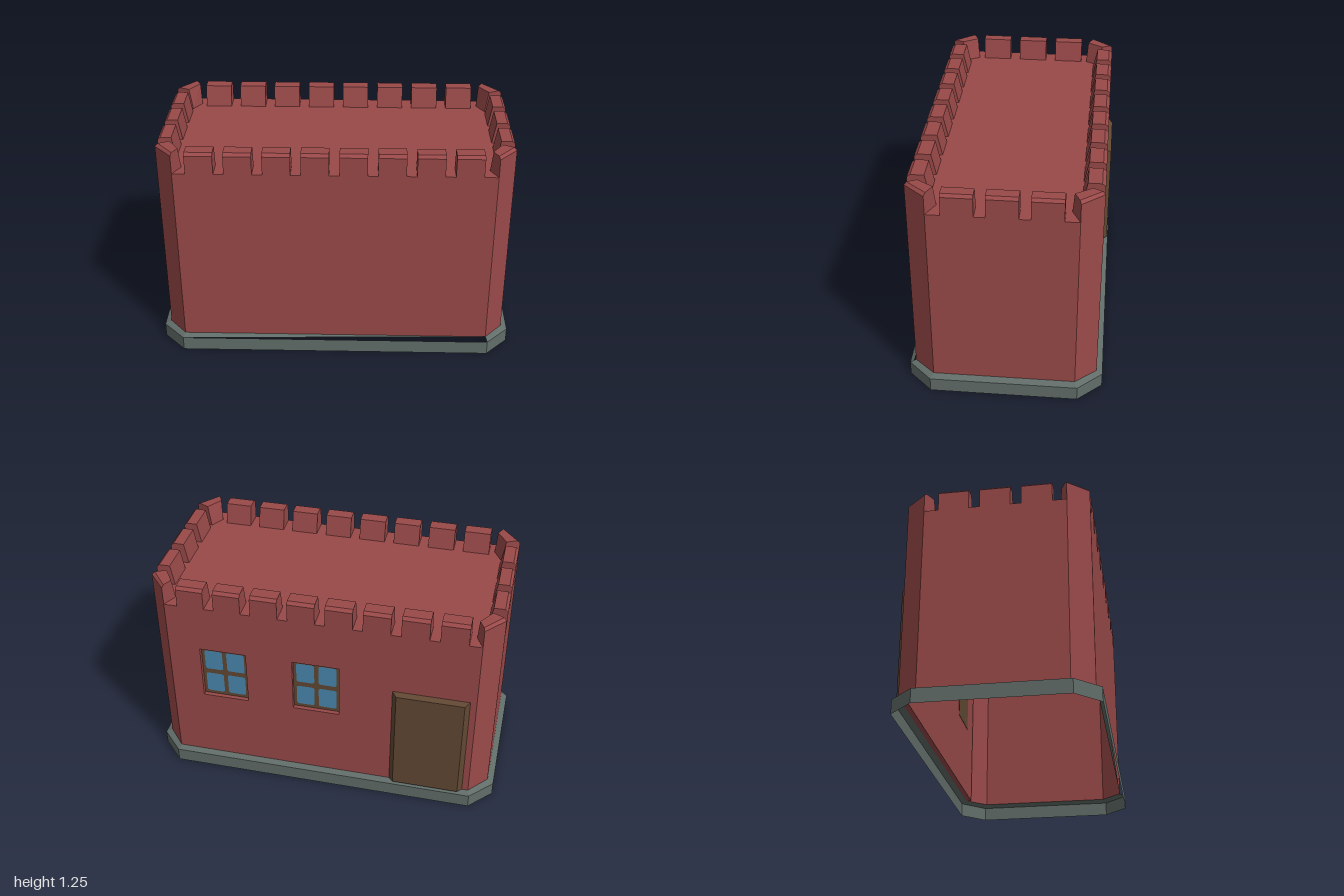
import * as THREE from 'three';

const mat = (name, color) => {
  const m = new THREE.MeshStandardMaterial({ color, side: THREE.DoubleSide, flatShading: true });
  m.name = name;
  return m;
};

// Flat-shaded geometry from quads or triangles given as corner lists
function facesGeometry(faces) {
  const pos = [];
  for (const f of faces)
    for (let i = 1; i < f.length - 1; i++) pos.push(...f[0], ...f[i], ...f[i + 1]);
  const g = new THREE.BufferGeometry();
  g.setAttribute('position', new THREE.Float32BufferAttribute(pos, 3));
  g.computeVertexNormals();
  return g;
}

// Chamfered rectangle seen from above; edge 0 is the front, edge 4 the back
const octagon = (x, z, cx, cz) => [
  [-cx, z], [cx, z], [x, cz], [x, -cz], [cx, -z], [-cx, -z], [-x, -cz], [-x, cz],
];
const at = ([x, z], y) => [x, y, z];
const mix = (p, q, t) => [p[0] + (q[0] - p[0]) * t, p[1] + (q[1] - p[1]) * t];

// Faces joining two octagons at different heights
const band = (lo, y0, hi, y1) => lo.map((p, i) => {
  const j = (i + 1) % 8;
  return [at(p, y0), at(lo[j], y0), at(hi[j], y1), at(hi[i], y1)];
});

const BASE = 0.095, ROOF = 1.13, TOP = 1.25;

// Merlon between outer corners a, b and inner corners c (behind a), d (behind b)
function merlonGeometry(a, b, c, d) {
  const section = (p, q) => [
    at(p, ROOF), at(p, 1.235), at(mix(p, q, 0.16), TOP), at(mix(p, q, 0.78), TOP), at(q, ROOF),
  ];
  const s = section(a, c), e = section(b, d);
  const faces = [[...s].reverse(), e];
  for (let i = 0; i < 4; i++) faces.push([s[i], e[i], e[i + 1], s[i + 1]]);
  return facesGeometry(faces);
}

function rectPath(Type, x0, y0, x1, y1) {
  const s = new Type();
  s.moveTo(x0, y0); s.lineTo(x1, y0); s.lineTo(x1, y1); s.lineTo(x0, y1); s.closePath();
  return s;
}

// Pane outline with small cut corners
function paneShape(w, h, r) {
  const s = new THREE.Shape();
  s.moveTo(-w + r, -h); s.lineTo(w - r, -h);
  s.quadraticCurveTo(w, -h, w, -h + r); s.lineTo(w, h - r);
  s.quadraticCurveTo(w, h, w - r, h); s.lineTo(-w + r, h);
  s.quadraticCurveTo(-w, h, -w, h - r); s.lineTo(-w, -h + r);
  s.quadraticCurveTo(-w, -h, -w + r, -h);
  return s;
}

export function createModel() {
  const brick = mat('brickRed', 0x9a4949);
  const stone = mat('stoneGrey', 0x616d69);
  const wood = mat('brown', 0x614833);
  const glass = mat('blueGlass', 0x4a89b0);

  const model = new THREE.Group();
  model.name = 'castleHouse';
  const add = (name, geometry, material, parent = model) => {
    const m = new THREE.Mesh(geometry, material);
    m.name = name;
    parent.add(m);
    return m;
  };
  const group = (name) => {
    const g = new THREE.Group();
    g.name = name;
    model.add(g);
    return g;
  };

  const body = octagon(0.965, 0.5, 0.865, 0.385);
  const foot = octagon(1, 0.532, 0.875, 0.4);

  // Plinth: open underneath, with half of the front ledge left out
  const ledge = band(foot, 0.08, body, BASE);
  ledge[0] = [ledge[0][0], ledge[0][2], ledge[0][3]];
  add('plinth', facesGeometry([...band(foot, 0, foot, 0.08), ...ledge]), stone);

  // Walls except the back, and the flat roof
  const walls = band(body, BASE, body, ROOF).filter((_, i) => i !== 4);
  add('walls', facesGeometry(walls), brick);
  add('roof', facesGeometry([body.map((p) => at(p, ROOF))]), brick);

  // Back wall slab with two window openings
  const windows = [0.553, 0.025];
  const wy0 = 0.525, wy1 = 0.853, hw = 0.132, recess = 0.03;
  const wallShape = rectPath(THREE.Shape, -0.865, BASE, 0.865, ROOF);
  for (const x of windows) wallShape.holes.push(rectPath(THREE.Path, x - hw, wy0, x + hw, wy1));
  add('backWall', new THREE.ExtrudeGeometry(wallShape, { depth: recess, bevelEnabled: false }), brick)
    .position.z = -0.5;

  // Windows: brown backing with four panes
  windows.forEach((x, i) => {
    const w = group('window' + (i + 1));
    w.position.set(x, (wy0 + wy1) / 2, -0.5 + recess);
    add('windowFrame', new THREE.BoxGeometry(hw * 2, wy1 - wy0, 0.008), wood, w).position.z = -0.002;
    for (const sx of [-1, 1]) for (const sy of [-1, 1]) {
      const pane = add('pane', new THREE.ShapeGeometry(paneShape(0.051, 0.064, 0.014), 3), glass, w);
      pane.rotation.y = Math.PI;
      pane.position.set(sx * 0.063, sy * 0.079, -0.0085);
    }
  });

  // Door: slab with bevelled sides and top
  const outline = (x0, x1, y, z) => [[x0, BASE, z], [x0, y, z], [x1, y, z], [x1, BASE, z]];
  const inner = outline(-0.83, -0.405, 0.752, -0.5);
  const outer = outline(-0.805, -0.43, 0.735, -0.526);
  const doorFaces = [outer];
  for (let i = 0; i < 4; i++) {
    const j = (i + 1) % 4;
    doorFaces.push([inner[i], inner[j], outer[j], outer[i]]);
  }
  add('door', facesGeometry(doorFaces), wood);

  // Battlements along the long and short sides and on the corners
  const battlements = group('battlements');
  for (const s of [1, -1]) {
    for (let i = 0; i < 8; i++) {
      const x = -0.72 + i * 0.205, h = 0.075;
      add('longSideMerlon', merlonGeometry(
        [x - s * h, s * 0.5], [x + s * h, s * 0.5],
        [x - s * h, s * 0.385], [x + s * h, s * 0.385]), brick, battlements);
    }
    for (let i = -1; i <= 1; i++) {
      const z = i * 0.225, h = 0.083;
      add('shortSideMerlon', merlonGeometry(
        [s * 0.965, z + s * h], [s * 0.965, z - s * h],
        [s * 0.868, z + s * h], [s * 0.868, z - s * h]), brick, battlements);
    }
    for (const t of [1, -1]) {
      const ends = [
        [[s * 0.865, t * 0.5], [s * 0.825, t * 0.42]],
        [[s * 0.965, t * 0.385], [s * 0.87, t * 0.34]],
      ];
      if (s * t < 0) ends.reverse();
      const [[a, c], [b, d]] = ends;
      add('cornerMerlon', merlonGeometry(a, b, c, d), brick, battlements);
    }
  }

  return model;
}
